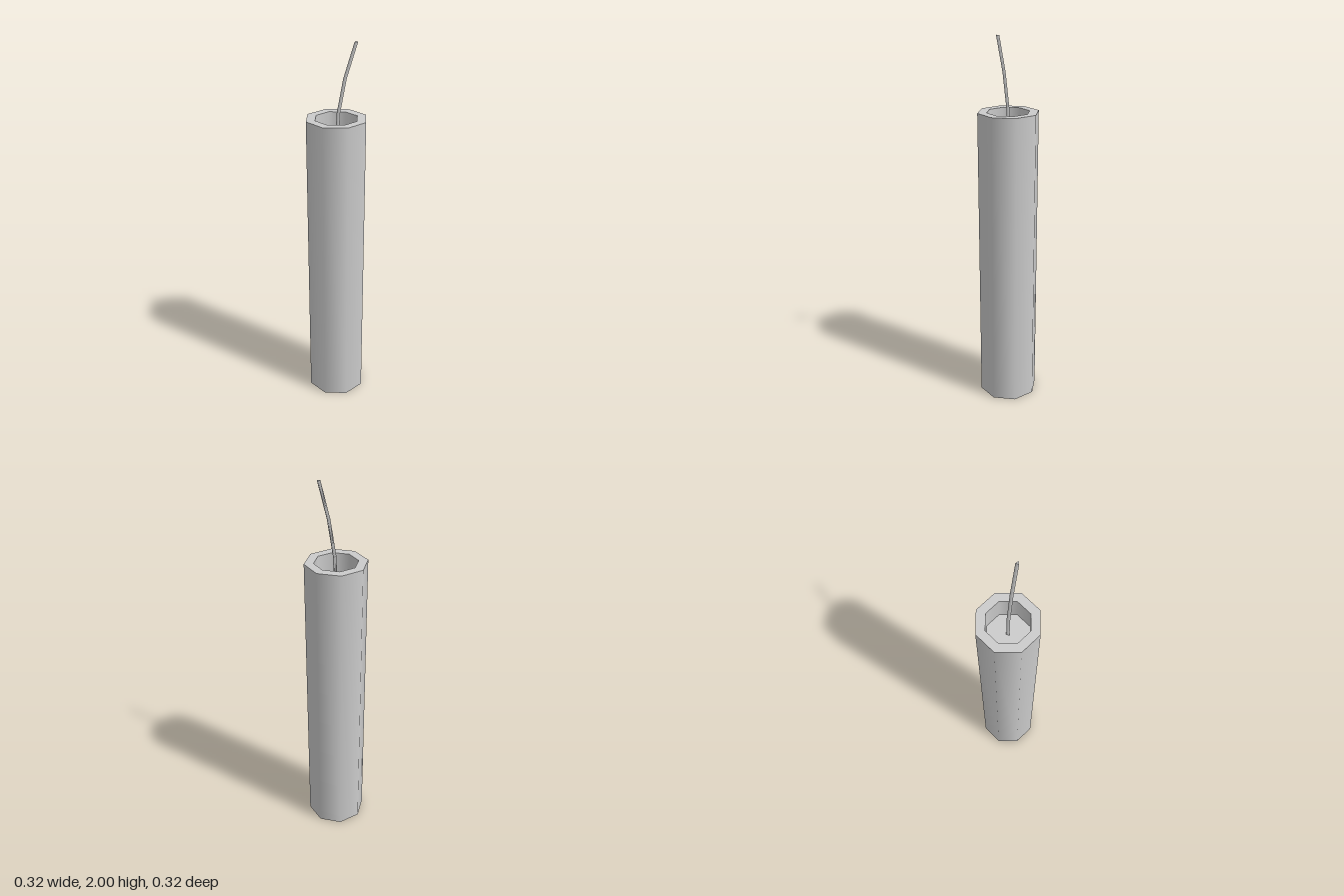
import * as THREE from 'three';

const material = new THREE.MeshStandardMaterial({ color: 0xcccccc });
const SIDES = 8;

// One ring of the turned body; separate rings keep the rims sharp
function ring(name, [r0, y0], [r1, y1]) {
  const points = [new THREE.Vector2(r0, y0), new THREE.Vector2(r1, y1)];
  const mesh = new THREE.Mesh(new THREE.LatheGeometry(points, SIDES), material);
  mesh.name = name;
  return mesh;
}

// Hollow-topped octagonal stick
function createStick() {
  const R = 0.16, r = 0.112, top = 1.614, floor = 1.47;
  const profile = [[0, 0], [R, 0], [R, top], [r, top], [r, floor], [0, floor]];
  const names = ['base', 'outerWall', 'rim', 'innerWall', 'recessFloor'];
  const stick = new THREE.Group();
  stick.name = 'stick';
  names.forEach((name, i) => stick.add(ring(name, profile[i], profile[i + 1])));
  return stick;
}

// Three-sided fuse, bent sideways as it rises
function createFuse() {
  const centres = [[0.102, 2], [0.045, 1.82], [0.01, 1.64], [0.002, 1.46]];
  const segments = centres.length - 1;
  const geometry = new THREE.CylinderGeometry(0.01, 0.01, 1, 3, segments, false, Math.PI / 2);
  const pos = geometry.attributes.position;
  for (let i = 0; i < pos.count; i++) {
    const [x, y] = centres[Math.round((0.5 - pos.getY(i)) * segments)];
    pos.setX(i, pos.getX(i) + x);
    pos.setY(i, y);
  }
  const fuse = new THREE.Mesh(geometry, material);
  fuse.name = 'fuse';
  return fuse;
}

export function createModel() {
  const model = new THREE.Group();
  model.name = 'fusedStick';
  model.add(createStick(), createFuse());
  return model;
}
